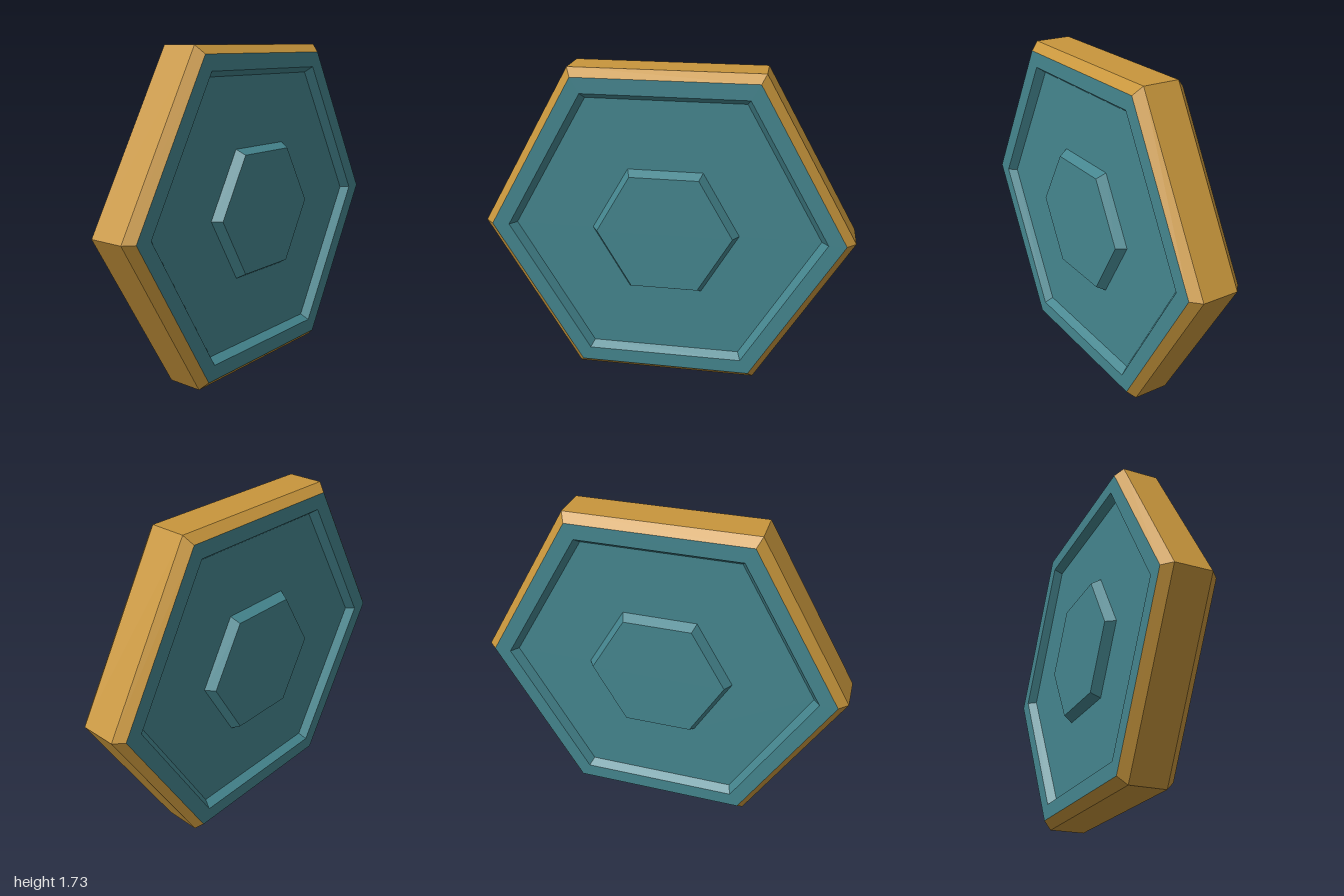
import * as THREE from 'three';

const CENTRE_Y = Math.sqrt(3) / 2;

// Six-sided solid swept from [radius, z] points, corners on the x axis
function hexSweep(profile) {
  const points = profile.map(([r, z]) => new THREE.Vector2(r, z));
  const geometry = new THREE.LatheGeometry(points, 6, Math.PI / 2);
  geometry.rotateX(Math.PI / 2);
  const flat = geometry.toNonIndexed();
  flat.computeVertexNormals();
  return flat;
}

export function createModel() {
  const gold = new THREE.MeshStandardMaterial({ color: 0xc8963c });
  gold.name = 'gold';
  const teal = new THREE.MeshStandardMaterial({ color: 0x45868f });
  teal.name = 'teal';

  const model = new THREE.Group();
  model.name = 'hexagonalToken';

  // Outer rim with chamfered edges
  const rim = new THREE.Mesh(
    hexSweep([[0.951, -0.143], [1, -0.097], [1, 0.097], [0.951, 0.143]]), gold);
  rim.name = 'rim';
  rim.position.y = CENTRE_Y;
  model.add(rim);

  // Border, sunken floor and raised boss, the same on both sides
  const dish = hexSweep([[0.951, 0.143], [0.858, 0.143], [0.824, 0.1], [0.396, 0.1]]);
  const boss = hexSweep([[0.396, 0.1], [0.364, 0.15], [0, 0.15]]);
  for (const side of ['front', 'back']) {
    const face = new THREE.Group();
    face.name = side + 'Face';
    face.position.y = CENTRE_Y;
    if (side === 'back') face.rotation.y = Math.PI;
    for (const [name, geometry] of [['Dish', dish], ['Boss', boss]]) {
      const mesh = new THREE.Mesh(geometry, teal);
      mesh.name = side + name;
      face.add(mesh);
    }
    model.add(face);
  }
  return model;
}
